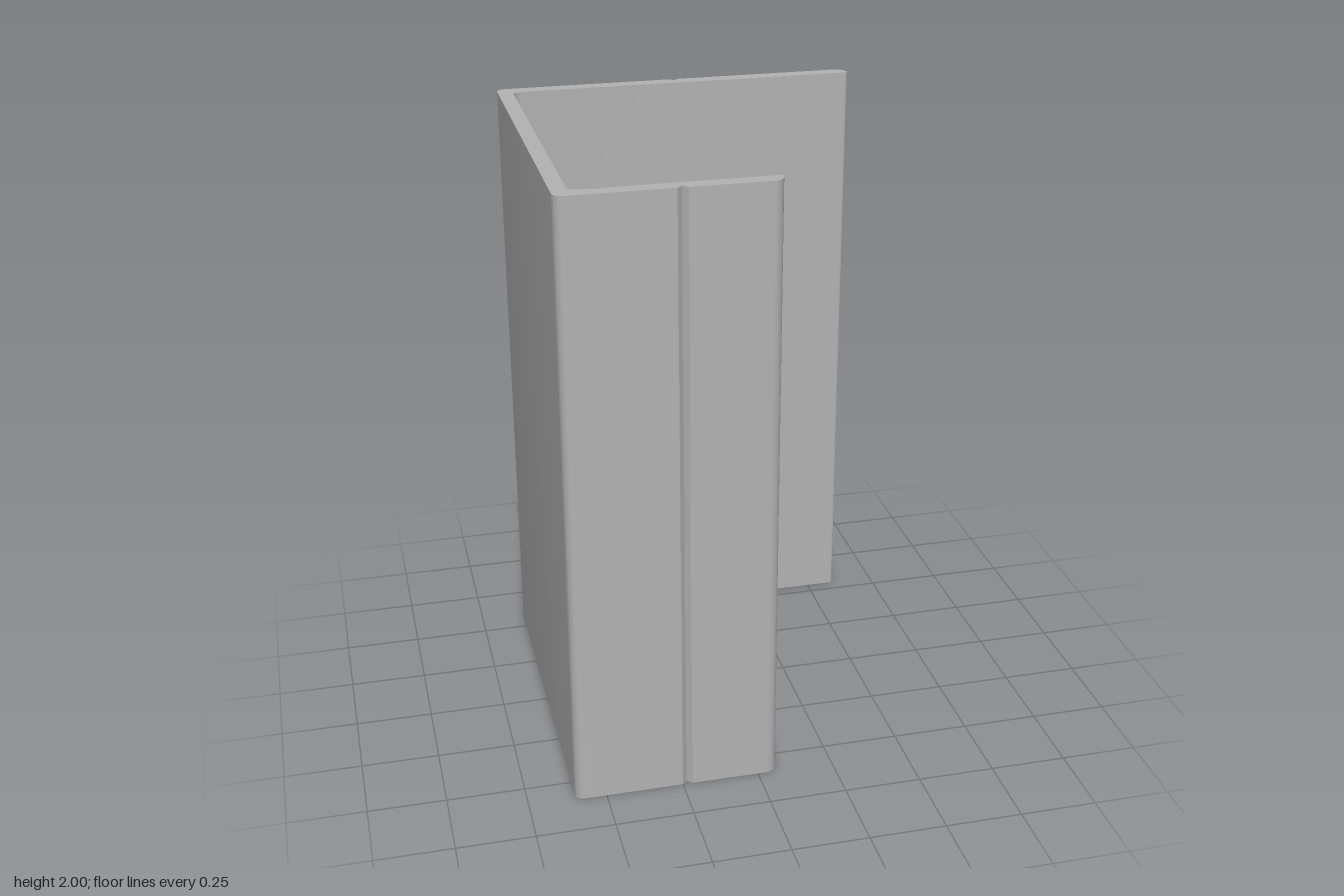
import * as THREE from 'three';
import { toCreasedNormals } from 'three/addons/utils/BufferGeometryUtils.js';

const HEIGHT = 2;
const BACK = 0.595, FRONT = -0.595; // profile y is minus z
const T = 0.049;                    // wall thickness

// Closed outline from [x, y, radius] corners; radius 0 keeps the corner sharp
function roundedOutline(corners, steps = 8) {
  const points = [];
  corners.forEach(([x, y, r], i) => {
    const p = new THREE.Vector2(x, y);
    if (!r) { points.push(p); return; }
    const n = corners.length;
    const toward = (c) => new THREE.Vector2(c[0], c[1]).sub(p).normalize();
    const a = toward(corners[(i + n - 1) % n]);
    const b = toward(corners[(i + 1) % n]);
    // all rounded corners are right angles, so the arc centre is p + (a + b) * r
    for (let k = 0; k <= steps; k++) {
      const t = (k / steps) * Math.PI / 2;
      points.push(p.clone()
        .addScaledVector(a, r * (1 - Math.sin(t)))
        .addScaledVector(b, r * (1 - Math.cos(t))));
    }
  });
  return new THREE.Shape(points);
}

// V groove cut into a face at height y; dir is the travel direction along x
const groove = (x, y, half, depth, dir) => [
  [x - dir * half, y, 0], [x, y + depth, 0], [x + dir * half, y, 0],
];

export function createModel() {
  const metal = new THREE.MeshStandardMaterial({ color: 0xb2b2b2 });
  metal.name = 'grey metal';

  // Channel section, counter-clockwise from the outer front corner
  const section = roundedOutline([
    [-0.6, FRONT, 0.03],
    ...groove(-0.235, FRONT, 0.016, 0.016, 1),
    [0.065, FRONT, 0.038],
    [0.065, FRONT + T, 0.01],
    ...groove(-0.467, FRONT + T, 0.013, -0.012, -1),
    [-0.551, FRONT + T, 0.03],
    [-0.551, BACK - T, 0.03],
    [0.6, BACK - T, 0.01],
    [0.6, BACK, 0.038],
    ...groove(0, BACK, 0.016, -0.016, -1),
    [-0.6, BACK, 0.03],
  ]);

  let geometry = new THREE.ExtrudeGeometry(section, { depth: HEIGHT, bevelEnabled: false });
  geometry.rotateX(-Math.PI / 2); // stand the extrusion upright
  geometry = toCreasedNormals(geometry, 0.5);

  const channel = new THREE.Mesh(geometry, metal);
  channel.name = 'channelProfile';

  const group = new THREE.Group();
  group.name = 'channel';
  group.add(channel);
  return group;
}
